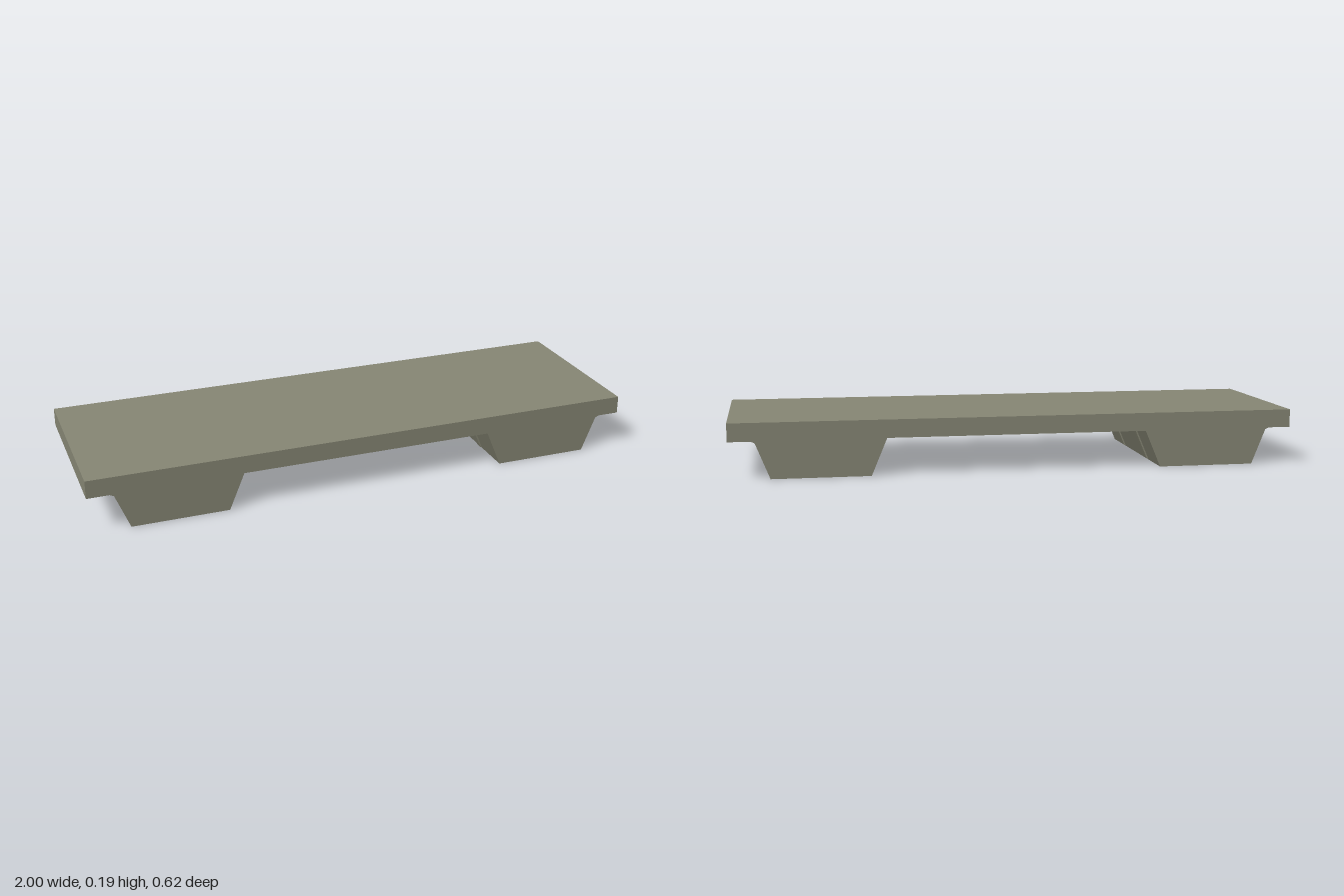
import * as THREE from 'three';

const DEPTH = 0.625;   // full width along z
const RIM_Y = 0.131;   // lower edge of the skirt around the deck
const PLATE_Y = 0.19;  // underside of the top plate
const TOP_Y = 0.195;
const WALL = 0.004;    // skirt thickness

export function createModel() {
  const group = new THREE.Group();
  const olive = new THREE.MeshStandardMaterial({ color: 0x878775 });
  olive.name = 'olive grey';

  const add = (parent, name, geometry, x = 0, y = 0, z = 0) => {
    const mesh = new THREE.Mesh(geometry, olive);
    mesh.name = name;
    mesh.position.set(x, y, z);
    parent.add(mesh);
  };

  // Extrudes an x/y outline along z, centred on zMid
  const prism = (points, depth, zMid = 0) => {
    const shape = new THREE.Shape(points.map(([x, y]) => new THREE.Vector2(x, y)));
    const geometry = new THREE.ExtrudeGeometry(shape, { depth, bevelEnabled: false });
    return geometry.translate(0, 0, zMid - depth / 2);
  };

  // Flat top plate with a thin skirt hanging from its edges
  add(group, 'topPlate', new THREE.BoxGeometry(2, TOP_Y - PLATE_Y, DEPTH), 0, (TOP_Y + PLATE_Y) / 2);
  const skirtHeight = PLATE_Y - RIM_Y;
  const skirtY = (PLATE_Y + RIM_Y) / 2;
  for (const side of [-1, 1]) {
    add(group, 'longSkirt', new THREE.BoxGeometry(2, skirtHeight, WALL),
      0, skirtY, side * (DEPTH - WALL) / 2);
    add(group, 'endSkirt', new THREE.BoxGeometry(WALL, skirtHeight, DEPTH - 2 * WALL),
      side * (1 - WALL / 2), skirtY, 0);
  }

  // Core inside the skirt: shallow recess between the feet, open at both ends
  add(group, 'core', prism([
    [-0.935, PLATE_Y], [-0.912, RIM_Y], [-0.46, RIM_Y], [-0.453, 0.146],
    [0.453, 0.146], [0.46, RIM_Y], [0.912, RIM_Y], [0.935, PLATE_Y],
  ], DEPTH - 2 * WALL));

  for (const side of [-1, 1]) {
    const foot = new THREE.Group();
    foot.name = side > 0 ? 'leftFoot' : 'rightFoot';
    group.add(foot);
    const outline = (points) => points.map(([x, y]) => [x * side, y]);

    // Tapered block running the full width, with a small flared lip outside
    add(foot, 'footBlock', prism(outline([
      [0.515, 0], [0.858, 0], [0.908, 0.125], [0.922, RIM_Y], [0.46, RIM_Y],
    ]), DEPTH));

    // Raised ribs on both sloping faces
    for (const z of [-0.156, 0.156]) {
      add(foot, 'outerRib', prism(outline([
        [0.85, 0.004], [0.865, 0.004], [0.914, 0.126], [0.9, 0.126],
      ]), 0.025, z));
      add(foot, 'innerRib', prism(outline([
        [0.508, 0.004], [0.525, 0.004], [0.475, 0.126], [0.457, 0.126],
      ]), 0.025, z));
    }
  }
  return group;
}
